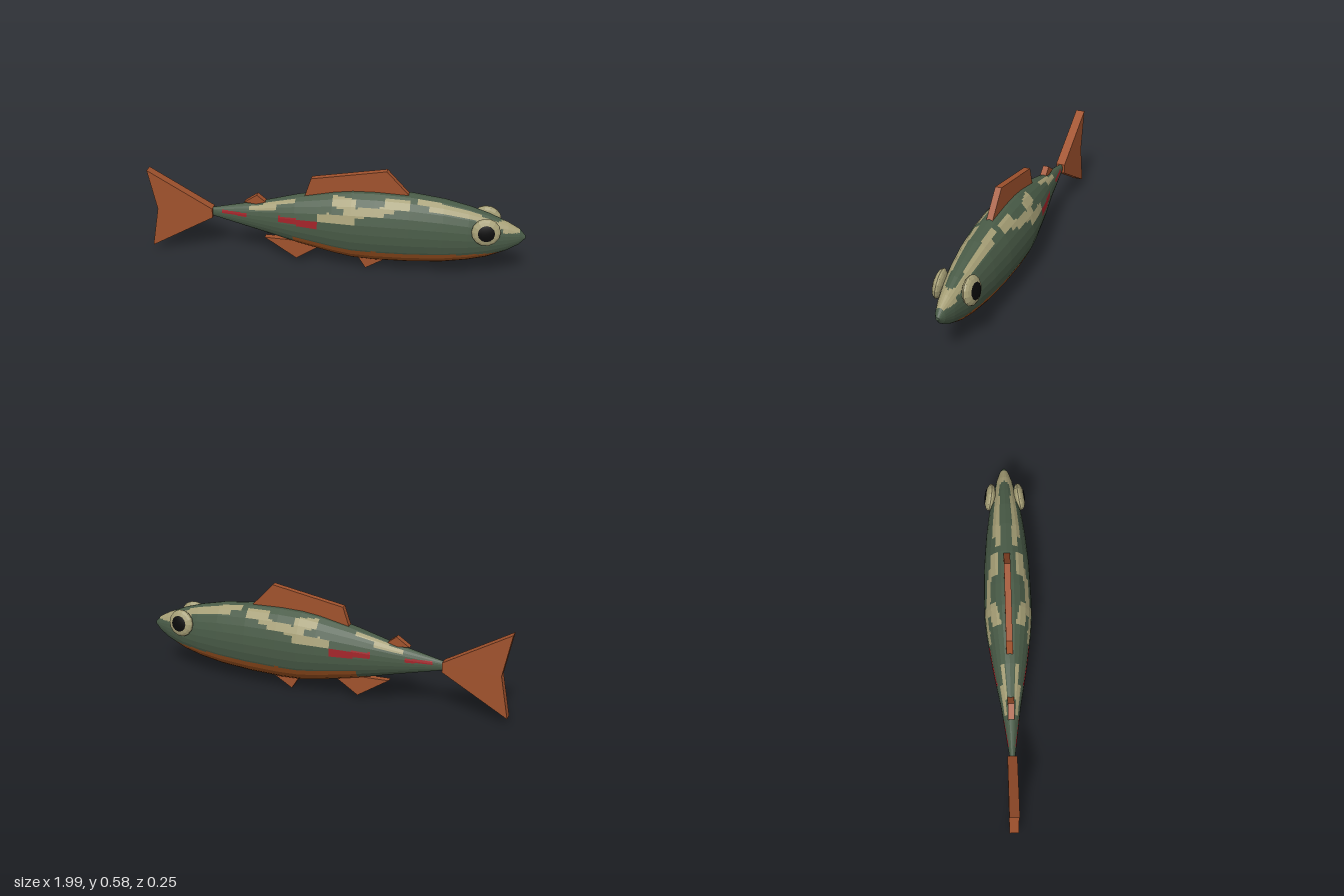
import * as THREE from 'three';

const mat = (name, color, opts = {}) => {
  const m = new THREE.MeshStandardMaterial({ color, ...opts });
  m.name = name;
  return m;
};

// Body stations: x, top y, bottom y, half width
const STATIONS = [
  [-0.655, 0.285, 0.235, 0.014], [-0.4, 0.342, 0.172, 0.05], [-0.2, 0.397, 0.122, 0.087],
  [0, 0.442, 0.08, 0.117], [0.1, 0.456, 0.064, 0.126], [0.22, 0.46, 0.06, 0.126],
  [0.4, 0.455, 0.066, 0.121], [0.57, 0.435, 0.08, 0.107], [0.7, 0.406, 0.103, 0.09],
  [0.8, 0.375, 0.13, 0.07], [0.9, 0.333, 0.175, 0.046], [0.96, 0.3, 0.215, 0.026],
  [0.99, 0.266, 0.25, 0.009],
];
const SIDES = 24, SUB = 4, STEP = 0.0125;

const mix = THREE.MathUtils.lerp;
const inBox = (x, y, [x0, x1, y0, y1]) => x > x0 && x < x1 && y > y0 && y < y1;

// Markings on both flanks: x from, x to, y from, y to
const TAN = [
  [-0.07, 0.13, 0.305, 0.345], [-0.03, 0.13, 0.34, 0.355], [0.06, 0.17, 0.35, 0.39],
  [0, 0.13, 0.387, 0.432], [0.13, 0.27, 0.362, 0.4], [0.25, 0.32, 0.38, 0.412],
  [0.27, 0.4, 0.398, 0.44], [0.87, 0.96, 0.29, 0.325], [0.84, 0.92, 0.315, 0.345],
];
const RED = [[-0.29, -0.08, 0.264, 0.3], [-0.6, -0.46, 0.264, 0.283]];

// Paint for a point on the body; a is the angle from the back in degrees
function paintAt(x, y, a) {
  const edge = x < 0.1 ? mix(0.155, 0.185, (0.1 - x) / 0.3)
    : x < 0.5 ? 0.155 : mix(0.155, 0.172, (x - 0.5) / 0.35);
  if (x > -0.21 - (a > 150 ? 0.04 : 0) && x < 0.92 && y < edge) return 'belly';
  if (RED.some((b) => inBox(x, y, b))) return 'stripes';
  if (TAN.some((b) => inBox(x, y, b))) return 'patches';
  if (x > 0.44 && x < 0.56 && a > 15 && a < 30) return 'patches';
  if (x > 0.5 && x < 0.76 && a > 19 && a < 42) return 'patches';
  if (x > 0.74 && x < 0.88 && a > 26 && a < 48) return 'patches';
  if (x > -0.45 && x < -0.3 && a > 30 && a < 52) return 'patches';
  if (x > -0.37 && x < -0.2 && a > 19 && a < 34) return 'patches';
  return 'skin';
}

// Point on the faceted hull: straight between stations and between ring corners
function hullPoint([x, top, bottom, w], j) {
  const k = Math.floor(j / SUB), f = j / SUB - k;
  const corner = (n) => (n / SIDES) * Math.PI * 2;
  const c = mix(Math.cos(corner(k)), Math.cos(corner(k + 1)), f);
  const s = mix(Math.sin(corner(k)), Math.sin(corner(k + 1)), f);
  return [x, (top + bottom) / 2 + ((top - bottom) / 2) * c, w * s];
}

function buildBody(mats) {
  const rings = [];
  for (let i = 0; i < STATIONS.length - 1; i++) {
    const a = STATIONS[i], b = STATIONS[i + 1];
    const n = Math.max(1, Math.round((b[0] - a[0]) / STEP));
    for (let k = 0; k < n; k++) rings.push(a.map((v, q) => mix(v, b[q], k / n)));
  }
  rings.push(STATIONS[STATIONS.length - 1]);

  const parts = { skin: [], belly: [], patches: [], stripes: [] };
  const N = SIDES * SUB;
  for (let i = 0; i < rings.length - 1; i++) {
    for (let j = 0; j < N; j++) {
      const a = hullPoint(rings[i], j), b = hullPoint(rings[i + 1], j);
      const c = hullPoint(rings[i + 1], j + 1), d = hullPoint(rings[i], j + 1);
      const deg = ((j + 0.5) / N) * 360;
      const paint = paintAt((a[0] + c[0]) / 2, (a[1] + c[1]) / 2, Math.min(deg, 360 - deg));
      parts[paint].push(...a, ...d, ...c, ...a, ...c, ...b);
    }
  }
  // Close both ends
  const last = rings[rings.length - 1];
  for (let j = 0; j < N; j++) {
    for (const [r, flip] of [[rings[0], false], [last, true]]) {
      const mid = [r[0], (r[1] + r[2]) / 2, 0];
      const p = hullPoint(r, j), q = hullPoint(r, j + 1);
      parts.skin.push(...mid, ...(flip ? p : q), ...(flip ? q : p));
    }
  }
  const body = new THREE.Group();
  body.name = 'body';
  for (const [name, pos] of Object.entries(parts)) {
    const g = new THREE.BufferGeometry();
    g.setAttribute('position', new THREE.Float32BufferAttribute(pos, 3));
    g.computeVertexNormals();
    const mesh = new THREE.Mesh(g, mats[name]);
    mesh.name = name;
    body.add(mesh);
  }
  return body;
}

// Flat fin cut from an outline and centred on z = 0
function buildFin(name, points, thickness, material) {
  const shape = new THREE.Shape(points.map(([x, y]) => new THREE.Vector2(x, y)));
  const g = new THREE.ExtrudeGeometry(shape, { depth: thickness, bevelEnabled: false });
  g.translate(0, 0, -thickness / 2);
  const mesh = new THREE.Mesh(g, material);
  mesh.name = name;
  return mesh;
}

// Bulging eye with a thin pupil cap facing outwards
function buildEye(side, mats) {
  const eye = new THREE.Group();
  eye.name = side > 0 ? 'rightEye' : 'leftEye';
  const ball = new THREE.Mesh(new THREE.SphereGeometry(1, 14, 10).rotateX(Math.PI / 2), mats.patches);
  ball.name = 'eyeball';
  const pupil = new THREE.Mesh(
    new THREE.SphereGeometry(1.04, 12, 3, 0, Math.PI * 2, 0, 0.6).rotateX(Math.PI / 2), mats.pupil);
  pupil.name = 'pupil';
  eye.add(ball, pupil);
  eye.scale.set(0.074, 0.074, 0.029);
  eye.position.set(0.79, 0.31, 0.08 * side);
  eye.rotation.set(-0.15 * side, side > 0 ? 0.1 : Math.PI - 0.1, 0);
  if (side < 0) eye.rotation.x = 0.15;
  return eye;
}

export function createModel() {
  const flat = { flatShading: true };
  const mats = {
    skin: mat('dark green', 0x495b47, flat),
    belly: mat('belly orange', 0x99501f, flat),
    patches: mat('tan', 0xa69f76, flat),
    stripes: mat('red', 0xa02228, flat),
    fin: mat('fin sienna', 0xa0522d, flat),
    pupil: mat('black', 0x0a0a0a),
  };
  const fish = new THREE.Group();
  fish.name = 'fish';
  fish.add(buildBody(mats));

  // Fins
  const fins = [
    ['tailFin', [[-0.655, 0.285], [-1, 0.485], [-0.957, 0.26], [-1, 0.033], [-0.655, 0.233]], 0.05],
    ['dorsalFin', [[-0.155, 0.4], [-0.12, 0.505], [0.272, 0.577], [0.39, 0.45]], 0.033],
    ['rearBackFin', [[-0.48, 0.337], [-0.41, 0.385], [-0.36, 0.345], [-0.38, 0.33]], 0.033],
    ['analFin', [[-0.375, 0.135], [-0.205, 0.023], [-0.09, 0.1], [-0.14, 0.13]], 0.033],
    ['pelvicFin', [[0.12, 0.08], [0.17, 0], [0.27, 0.062], [0.27, 0.08]], 0.033],
  ];
  for (const [name, outline, thickness] of fins) fish.add(buildFin(name, outline, thickness, mats.fin));

  // Eyes
  for (const side of [1, -1]) fish.add(buildEye(side, mats));
  return fish;
}
